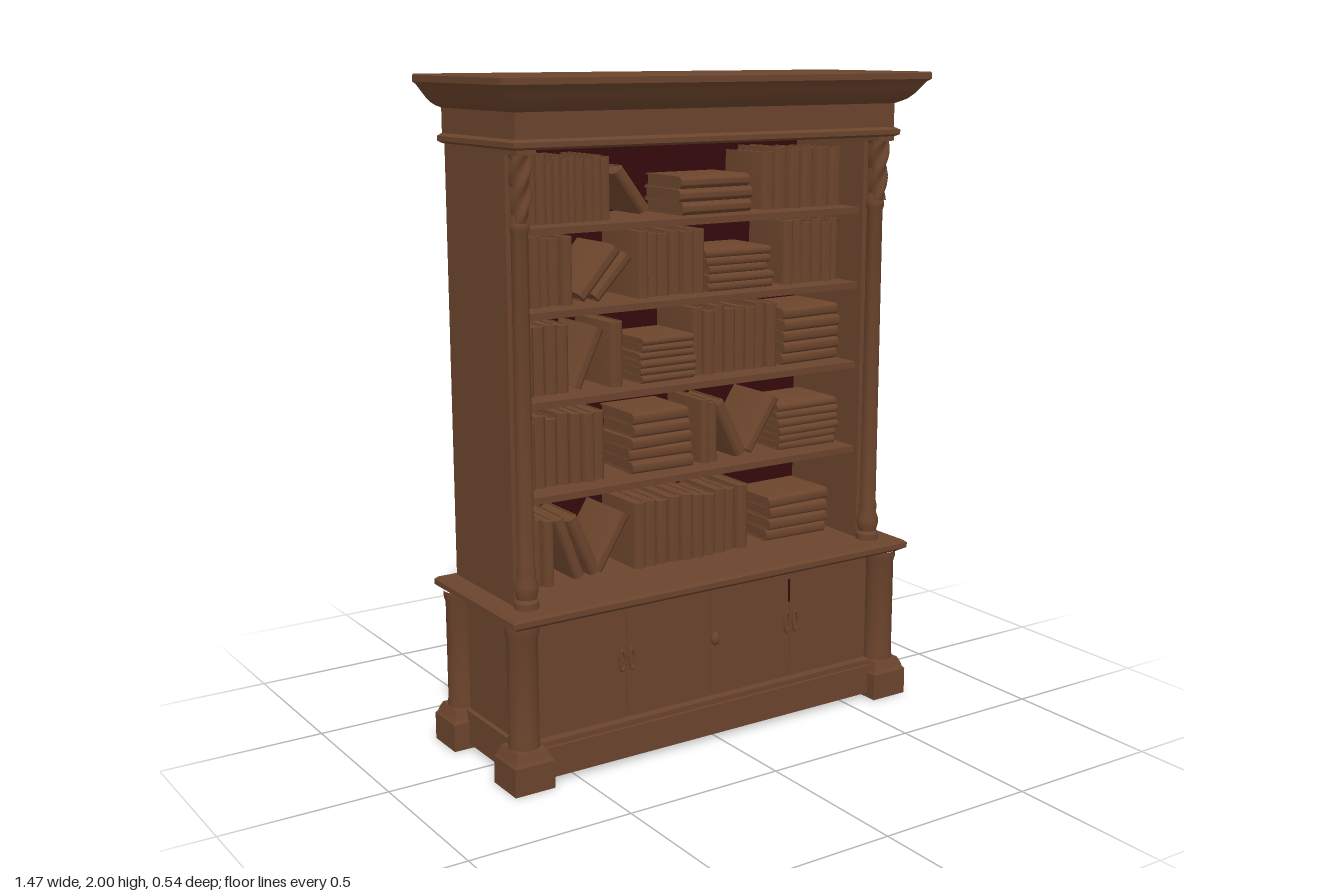
import * as THREE from 'three';
import { toCreasedNormals } from 'three/addons/utils/BufferGeometryUtils.js';

export function createModel() {
  const model = new THREE.Group();
  model.name = 'bookcase';
  const wood = new THREE.MeshStandardMaterial({ color: 0x6b442c });
  wood.name = 'brown wood';
  const lining = new THREE.MeshStandardMaterial({ color: 0x35090c });
  lining.name = 'dark red lining';

  let seed = 7;
  const rand = () => (seed = (seed * 16807) % 2147483647) / 2147483647;

  function add(name, geometry, x = 0, y = 0, z = 0, parent = model, material = wood) {
    const mesh = new THREE.Mesh(geometry, material);
    mesh.name = name;
    mesh.position.set(x, y, z);
    parent.add(mesh);
    return mesh;
  }

  // Box given by its limits
  const box = (name, x0, x1, y0, y1, z0, z1, material = wood) =>
    add(name, new THREE.BoxGeometry(x1 - x0, y1 - y0, z1 - z0),
      (x0 + x1) / 2, (y0 + y1) / 2, (z0 + z1) / 2, model, material);

  // Moulding from stacked rectangles: rows of [y, half width, back z, front z]
  function tiers(rows) {
    const pos = [], idx = [];
    for (const [y, w, b, f] of rows) pos.push(-w, y, f, w, y, f, w, y, b, -w, y, b);
    for (let r = 0; r < rows.length - 1; r++) {
      for (let i = 0; i < 4; i++) {
        const a = r * 4 + i, c = r * 4 + (i + 1) % 4;
        idx.push(a, c, c + 4, a, c + 4, a + 4);
      }
    }
    const t = (rows.length - 1) * 4;
    idx.push(0, 2, 1, 0, 3, 2, t, t + 1, t + 2, t, t + 2, t + 3);
    const g = new THREE.BufferGeometry();
    g.setAttribute('position', new THREE.Float32BufferAttribute(pos, 3));
    g.setIndex(idx);
    return toCreasedNormals(g, 0.5);
  }

  // Lathe with sharp edges kept
  const turned = (points, sides = 20) => toCreasedNormals(
    new THREE.LatheGeometry(points.map(([r, y]) => new THREE.Vector2(r, y)), sides), 0.6);

  // Cornice, frieze and lower bead
  add('cornice', tiers([
    [1.805, 0.655, -0.243, 0.195], [1.812, 0.668, -0.25, 0.208], [1.826, 0.668, -0.25, 0.208],
    [1.834, 0.655, -0.244, 0.193], [1.905, 0.655, -0.244, 0.193], [1.911, 0.67, -0.247, 0.203],
    [1.92, 0.685, -0.25, 0.22], [1.934, 0.698, -0.253, 0.234], [1.953, 0.712, -0.256, 0.247],
    [1.972, 0.726, -0.258, 0.26], [1.978, 0.735, -0.26, 0.27], [1.996, 0.735, -0.26, 0.27],
    [2, 0.731, -0.257, 0.266]]));

  // Upper case
  for (const s of [-1, 1]) {
    const panel = box('sidePanel', -0.025, 0.025, 0.51, 1.815, -0.24, 0.12);
    panel.position.x = s * 0.625;
  }
  box('backPanel', -0.64, 0.64, 0.51, 1.815, -0.239, -0.225);
  box('backLining', -0.6, 0.6, 0.52, 1.805, -0.225, -0.219, lining);
  const shelfTops = [1.585, 1.35, 1.095, 0.82, 0.522];
  for (const y of shelfTops.slice(0, 4)) box('shelf', -0.6, 0.6, y - 0.02, y, -0.22, 0.1);

  // Front columns with turned bases and twisted capitals
  const shaft = turned([
    [0, 0.515], [0.036, 0.515], [0.036, 0.54], [0.029, 0.55], [0.034, 0.57], [0.034, 0.59],
    [0.027, 0.61], [0.029, 0.63], [0.025, 0.65], [0.024, 1.58], [0.028, 1.59], [0.028, 1.605],
    [0.024, 1.615], [0.024, 1.81]]);
  const twist = new THREE.CylinderGeometry(0.03, 0.023, 0.19, 24, 32, true);
  const p = twist.attributes.position;
  for (let i = 0; i < p.count; i++) {
    const a = Math.atan2(p.getZ(i), p.getX(i));
    const k = 1 + 0.18 * Math.cos(3 * a + p.getY(i) * 75);
    p.setXYZ(i, p.getX(i) * k, p.getY(i), p.getZ(i) * k);
  }
  twist.computeVertexNormals();
  for (const s of [-1, 1]) {
    const column = new THREE.Group();
    column.name = 'frontColumn';
    column.position.set(s * 0.624, 0, 0.149);
    add('shaft', shaft, 0, 0, 0, column);
    add('twistedCapital', twist, 0, 1.705, 0.012, column);
    add('capitalBlock', new THREE.BoxGeometry(0.06, 0.02, 0.08), 0, 1.802, 0.008, column);
    model.add(column);
  }

  // Base top slab
  add('baseTop', tiers([
    [0.482, 0.69, -0.245, 0.215], [0.49, 0.703, -0.252, 0.228], [0.497, 0.715, -0.26, 0.24],
    [0.513, 0.715, -0.26, 0.24], [0.521, 0.706, -0.252, 0.232]]));

  // Corner posts on square feet
  const post = turned([
    [0.046, 0.11], [0.047, 0.13], [0.045, 0.15], [0.045, 0.45], [0.05, 0.465], [0.05, 0.485]]);
  const foot = tiers([
    [0, 0.064, -0.064, 0.064], [0.084, 0.064, -0.064, 0.064], [0.092, 0.058, -0.058, 0.058],
    [0.105, 0.054, -0.054, 0.054], [0.122, 0.046, -0.046, 0.046]]);
  for (const x of [-0.656, 0.656]) {
    for (const z of [0.176, -0.208]) {
      add('cornerPost', post, x, 0, z);
      add('foot', foot, x, 0, z);
    }
  }

  // Base panels and rails; one end stays open
  box('baseBack', -0.62, 0.62, 0.012, 0.49, -0.24, -0.228);
  box('baseEnd', -0.655, -0.64, 0.015, 0.484, -0.2, 0.16);
  for (const s of [-1, 1]) {
    const rail = box('endRail', -0.01, 0.01, 0.015, 0.12, -0.16, 0.13);
    rail.position.x = s * 0.66;
  }
  box('frontRail', -0.61, 0.61, 0.015, 0.108, 0.165, 0.205);
  box('railBead', -0.61, 0.61, 0.108, 0.124, 0.165, 0.195);
  box('doorBacking', -0.615, 0.615, 0.11, 0.49, 0.145, 0.16);
  for (let i = 0; i < 4; i++) {
    const x = -0.604 + i * 0.302;
    box('door', x, x + 0.3, 0.13, 0.484, 0.16, 0.166);
  }
  box('doorSlit', 0.293, 0.299, 0.37, 0.445, 0.163, 0.168, lining);

  // Oval pulls and a central knob
  const pull = new THREE.TorusGeometry(0.02, 0.005, 8, 20);
  for (const x of [-0.322, -0.289, 0.285, 0.318]) {
    const ring = add('doorPull', pull, x, 0.307, 0.172);
    ring.scale.set(0.45, 1.5, 1);
  }
  const knob = add('doorKnob', new THREE.SphereGeometry(0.016, 16, 10), 0.012, 0.307, 0.172);
  knob.scale.set(0.9, 1.3, 0.7);

  // Book standing on y = 0, rounded spine at the front: cover wrap and page block
  function book(t, h, d) {
    const g = new THREE.Group();
    g.name = 'book';
    const w = t / 2, c = Math.min(0.004, t * 0.15), bulge = Math.min(w * 0.8, 0.018);
    const s = new THREE.Shape();
    s.moveTo(-w, d);
    s.lineTo(-w, bulge);
    s.quadraticCurveTo(-w * 0.8, 0, 0, 0);
    s.quadraticCurveTo(w * 0.8, 0, w, bulge);
    s.lineTo(w, d);
    s.lineTo(w - c, d);
    s.lineTo(w - c, bulge + c);
    s.lineTo(c - w, bulge + c);
    s.lineTo(c - w, d);
    const cover = new THREE.ExtrudeGeometry(s, { depth: h, bevelEnabled: false, curveSegments: 5 });
    cover.rotateX(-Math.PI / 2);
    add('cover', toCreasedNormals(cover, 0.7), 0, 0, 0, g);
    add('pages', new THREE.BoxGeometry(t - 2 * c, h * 0.97, d - bulge - 0.01),
      0, h / 2, -(d + bulge) / 2 + 0.003, g);
    model.add(g);
    return g;
  }

  // Upright run between two x limits
  function standing(row, x0, x1, n, h) {
    const pitch = (x1 - x0) / n;
    for (let i = 0; i < n; i++) {
      const b = book(pitch * (0.94 + 0.06 * rand()), h * (0.94 + 0.08 * rand()), 0.19 + 0.02 * rand());
      b.position.set(x0 + pitch * (i + 0.5), shelfTops[row], 0.01 + 0.02 * rand());
    }
  }
  // Lying pile up to a given height
  function pile(row, x0, x1, n, height) {
    const t = height / n;
    for (let i = 0; i < n; i++) {
      const len = (x1 - x0) * (0.88 + 0.12 * rand());
      const b = book(t * 0.97, len, 0.19 + 0.02 * rand());
      b.rotation.set(0, (rand() - 0.5) * 0.1, Math.PI / 2, 'YXZ');
      b.position.set((x0 + x1) / 2 + len / 2, shelfTops[row] + t * (i + 0.5), 0.02 + 0.02 * rand());
    }
  }
  // Single leaning book by its centre; a positive angle tips it to the left
  function leaning(x, y, t, h, degrees) {
    const b = book(t, h, 0.2), a = THREE.MathUtils.degToRad(degrees);
    b.rotation.z = a;
    b.position.set(x + Math.sin(a) * h / 2, y - Math.cos(a) * h / 2, 0.02);
  }

  const runs = [
    [0, -0.59, -0.465, 4, 0.205], [0, -0.465, -0.365, 4, 0.185], [0, -0.365, -0.25, 4, 0.185],
    [0, 0.29, 0.598, 6, 0.185], [1, -0.59, -0.385, 6, 0.2], [1, -0.165, 0.075, 6, 0.195],
    [1, 0.37, 0.598, 6, 0.195], [2, -0.59, -0.395, 5, 0.205], [2, -0.265, -0.215, 1, 0.2],
    [2, 0.04, 0.35, 8, 0.205], [3, -0.59, -0.275, 8, 0.21], [3, 0.06, 0.125, 2, 0.195],
    [4, -0.59, -0.46, 4, 0.21], [4, -0.18, 0.245, 10, 0.205]];
  runs.forEach((r) => standing(...r));
  const piles = [
    [0, -0.025, 0.245, 3, 0.115], [1, 0.08, 0.32, 5, 0.125], [2, -0.165, 0.035, 6, 0.135],
    [2, 0.36, 0.59, 5, 0.18], [3, -0.195, 0.025, 5, 0.185], [3, 0.345, 0.59, 6, 0.15],
    [4, 0.315, 0.56, 4, 0.15]];
  piles.forEach((r) => pile(...r));
  const leaners = [
    [-0.18, 1.668, 0.04, 0.15, 37], [-0.295, 1.435, 0.045, 0.18, -42], [-0.25, 1.42, 0.04, 0.16, -44],
    [-0.335, 1.19, 0.045, 0.185, -25], [0.175, 0.915, 0.045, 0.19, 27], [0.295, 0.915, 0.045, 0.19, -33],
    [-0.405, 0.625, 0.035, 0.2, 20], [-0.355, 0.625, 0.04, 0.195, 24], [-0.26, 0.62, 0.045, 0.19, -32]];
  leaners.forEach((r) => leaning(...r));

  // Two narrow strips standing out of the back
  box('backStrip', 0.045, 0.075, 1.36, 1.56, -0.242, -0.235);
  box('backStrip', -0.262, -0.222, 1.1, 1.3, -0.244, -0.235);

  return model;
}
